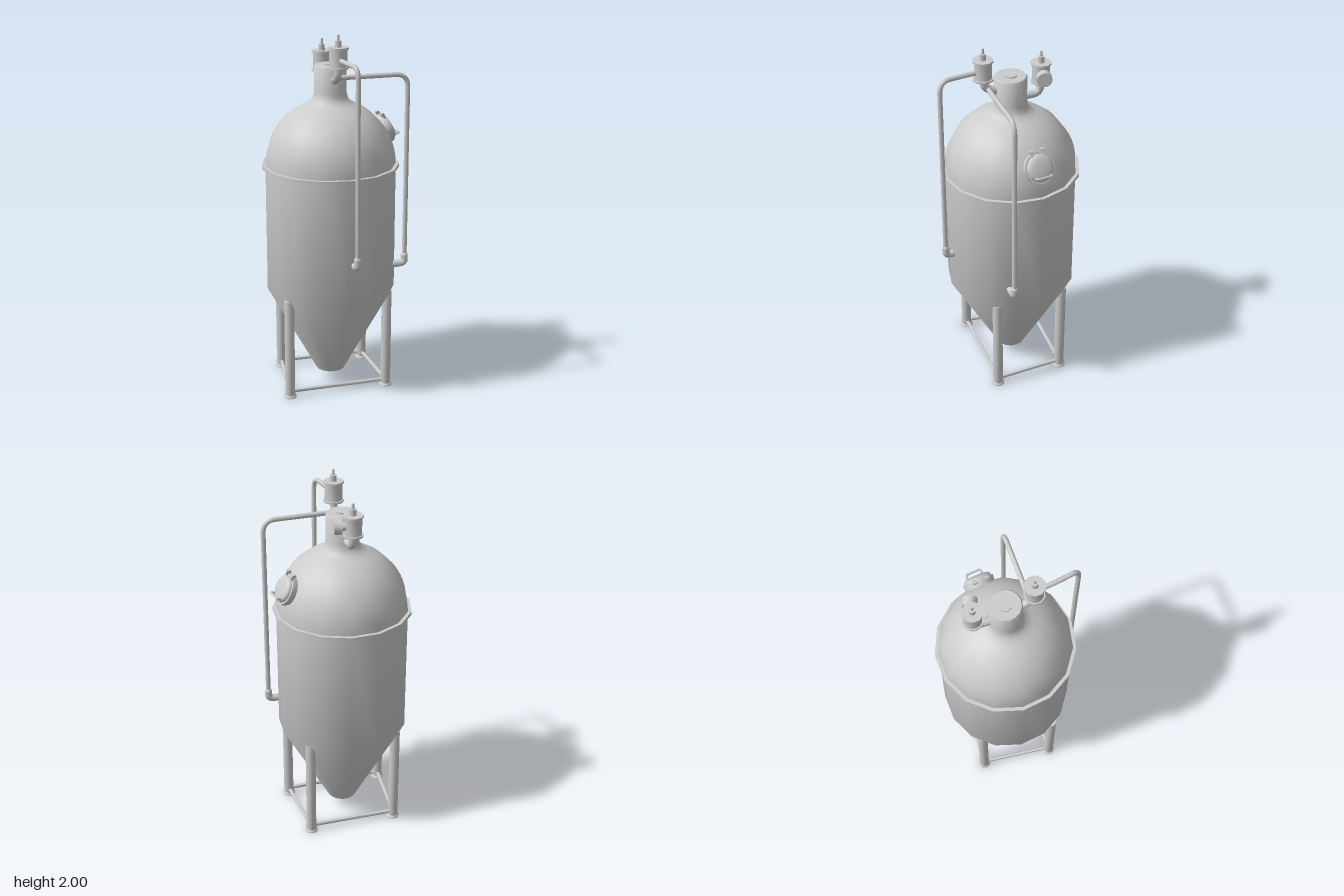
import * as THREE from 'three';
import { toCreasedNormals } from 'three/addons/utils/BufferGeometryUtils.js';

const CX = -0.018, CZ = -0.02; // tank axis
const V = (x, y, z) => new THREE.Vector3(x, y, z);

export function createModel() {
  const model = new THREE.Group();
  const mat = new THREE.MeshStandardMaterial({ color: 0xcccccc });

  function add(parent, name, geo, x = 0, y = 0, z = 0) {
    const mesh = new THREE.Mesh(geo, mat);
    mesh.name = name;
    mesh.position.set(x, y, z);
    parent.add(mesh);
    return mesh;
  }

  // Turned part from [radius, height] pairs, sharp edges kept
  function turned(profile, sides, start = 0) {
    const pts = profile.map(([r, y]) => new THREE.Vector2(r, y));
    return toCreasedNormals(new THREE.LatheGeometry(pts, sides, start), 0.85);
  }

  // Round bar between two points
  function bar(parent, name, a, b, r, sides = 8) {
    const geo = toCreasedNormals(new THREE.CylinderGeometry(r, r, a.distanceTo(b), sides), 0.85);
    const mesh = add(parent, name, geo);
    mesh.position.copy(a).lerp(b, 0.5);
    mesh.quaternion.setFromUnitVectors(V(0, 1, 0), b.clone().sub(a).normalize());
    return mesh;
  }

  // Bent pipe through corner points, each corner rounded by the bend length
  function pipe(parent, name, pts, bend, r, segments = 60) {
    const path = new THREE.CurvePath();
    let from = pts[0];
    for (let i = 1; i < pts.length - 1; i++) {
      const toward = (p) => pts[i].clone().add(
        p.clone().sub(pts[i]).setLength(Math.min(bend, p.distanceTo(pts[i]) * 0.49)));
      const a = toward(pts[i - 1]), b = toward(pts[i + 1]);
      path.add(new THREE.LineCurve3(from, a));
      path.add(new THREE.QuadraticBezierCurve3(a, pts[i], b));
      from = b;
    }
    path.add(new THREE.LineCurve3(from, pts[pts.length - 1]));
    return add(parent, name, new THREE.TubeGeometry(path, segments, r, 10));
  }

  // Tank: cone, cylinder, dome and neck in one profile
  const R = 0.355, domeY = 1.28;
  const shell = [[0, 0.07], [0.08, 0.07], [R, 0.575], [R, domeY]];
  for (let i = 1; i <= 10; i++) {
    const a = (i / 10) * 1.17;
    shell.push([R * Math.cos(a), domeY + R * Math.sin(a)]);
  }
  shell.push([0.108, 1.625], [0.094, 1.645], [0.087, 1.675],
    [0.087, 1.812], [0.081, 1.82], [0, 1.82]);
  add(model, 'tank', turned(shell, 15, 0.015), CX, 0, CZ);
  add(model, 'neckCap', turned([[0.035, 1.81], [0.035, 1.827], [0, 1.827]], 8), CX, 0, CZ);
  add(model, 'rimFlange', turned(
    [[0.34, 1.264], [0.374, 1.264], [0.374, 1.282], [0.34, 1.282]], 15, 0.015), CX, 0, CZ);

  // Legs with feet, joined by a ring of low bars
  const stand = new THREE.Group();
  stand.name = 'stand';
  model.add(stand);
  const corners = [[-0.302, 0.158], [0.254, 0.159], [0.232, -0.228], [-0.253, -0.244]];
  corners.forEach(([x, z], i) => {
    add(stand, 'leg', toCreasedNormals(
      new THREE.CylinderGeometry(0.028, 0.028, 0.575, 12), 0.85), x, 0.2875, z);
    add(stand, 'foot', turned(
      [[0, 0], [0.036, 0], [0.036, 0.007], [0.028, 0.014]], 12), x, 0, z);
    const [nx, nz] = corners[(i + 1) % 4];
    bar(stand, 'braceBar', V(x, 0.033, z), V(nx, 0.033, nz), 0.011);
  });

  // Valves: drum between two flanges, with hub and stem
  function valve(name, z, y) {
    const g = new THREE.Group();
    g.name = name;
    g.position.set(CX, y, z);
    model.add(g);
    add(g, 'valveBody', turned([
      [0, 0], [0.055, 0], [0.055, 0.01], [0.047, 0.01], [0.047, 0.102],
      [0.055, 0.102], [0.055, 0.112], [0, 0.112]], 10));
    add(g, 'valveHub', turned([[0.018, 0.11], [0.018, 0.145], [0, 0.145]], 8));
    add(g, 'valveStem', turned([[0.007, 0.14], [0.007, 0.175], [0, 0.175]], 8));
    return g;
  }
  valve('frontValve', 0.13, 1.825);
  const back = valve('backValve', -0.187, 1.755);
  // Side drum on the back valve
  bar(back, 'sideDrum', V(0.055, 0.055, 0.006), V(0.094, 0.055, 0.017), 0.04, 12);
  bar(back, 'sideNeck', V(0, 0.055, -0.009), V(0.07, 0.055, 0.01), 0.022, 10);

  // Elbows from the neck to the valves
  pipe(model, 'frontElbow',
    [V(CX, 1.83, 0.13), V(CX, 1.775, 0.125), V(CX, 1.74, 0.04)], 0.04, 0.021, 20);
  pipe(model, 'backElbow',
    [V(CX, 1.76, -0.187), V(CX, 1.69, -0.18), V(CX, 1.69, -0.08)], 0.045, 0.022, 20);

  // Long downpipes, each with a thicker elbow entering the tank wall
  function downpipe(name, pts) {
    const g = new THREE.Group();
    g.name = name;
    model.add(g);
    pipe(g, 'pipe', pts, 0.07, 0.013, 110);
    const [a, corner, end] = pts.slice(-3);
    const start = corner.clone().add(a.clone().sub(corner).setLength(0.045));
    pipe(g, 'wallElbow', [start, corner, end], 0.04, 0.02, 20);
    add(g, 'elbowCollar', new THREE.SphereGeometry(0.0205, 10, 8), start.x, start.y, start.z);
  }
  downpipe('frontPipe', [
    V(CX, 1.872, 0.14), V(-0.005, 1.872, 0.27), V(0.015, 1.872, 0.372),
    V(0.018, 0.805, 0.372), V(0.012, 0.805, 0.31)]);
  downpipe('sidePipe', [
    V(-0.01, 1.772, 0.108), V(0.373, 1.772, 0.108),
    V(0.373, 0.705, 0.106), V(0.29, 0.705, 0.104)]);

  // Manway on the dome: local y points outward, x down the slope
  const out = V(0.886, 0.452, -0.095).normalize();
  const side = V(out.z, 0, -out.x).normalize().negate();
  const down = out.clone().cross(side);
  const manway = new THREE.Group();
  manway.name = 'manway';
  manway.position.set(CX, domeY, CZ).addScaledVector(out, R - 0.005);
  manway.quaternion.setFromRotationMatrix(new THREE.Matrix4().makeBasis(down, out, side));
  model.add(manway);
  add(manway, 'collar', turned(
    [[0.078, -0.03], [0.084, 0.004], [0.084, 0.02], [0.07, 0.02]], 16));
  add(manway, 'lid', turned(
    [[0.074, 0.015], [0.074, 0.03], [0.066, 0.039], [0.045, 0.044], [0, 0.046]], 16));
  pipe(manway, 'handle', [V(0.045, 0.03, -0.042), V(0.049, 0.064, -0.042),
    V(0.049, 0.064, 0.042), V(0.045, 0.03, 0.042)], 0.012, 0.006, 30);
  for (const s of [-1, 1]) {
    add(manway, 'hingeBlock', new THREE.BoxGeometry(0.03, 0.016, 0.012), -0.078, 0.024, s * 0.033);
    bar(manway, 'hingePin', V(-0.09, 0.02, s * 0.033 - 0.012),
      V(-0.09, 0.02, s * 0.033 + 0.012), 0.01);
  }

  return model;
}
